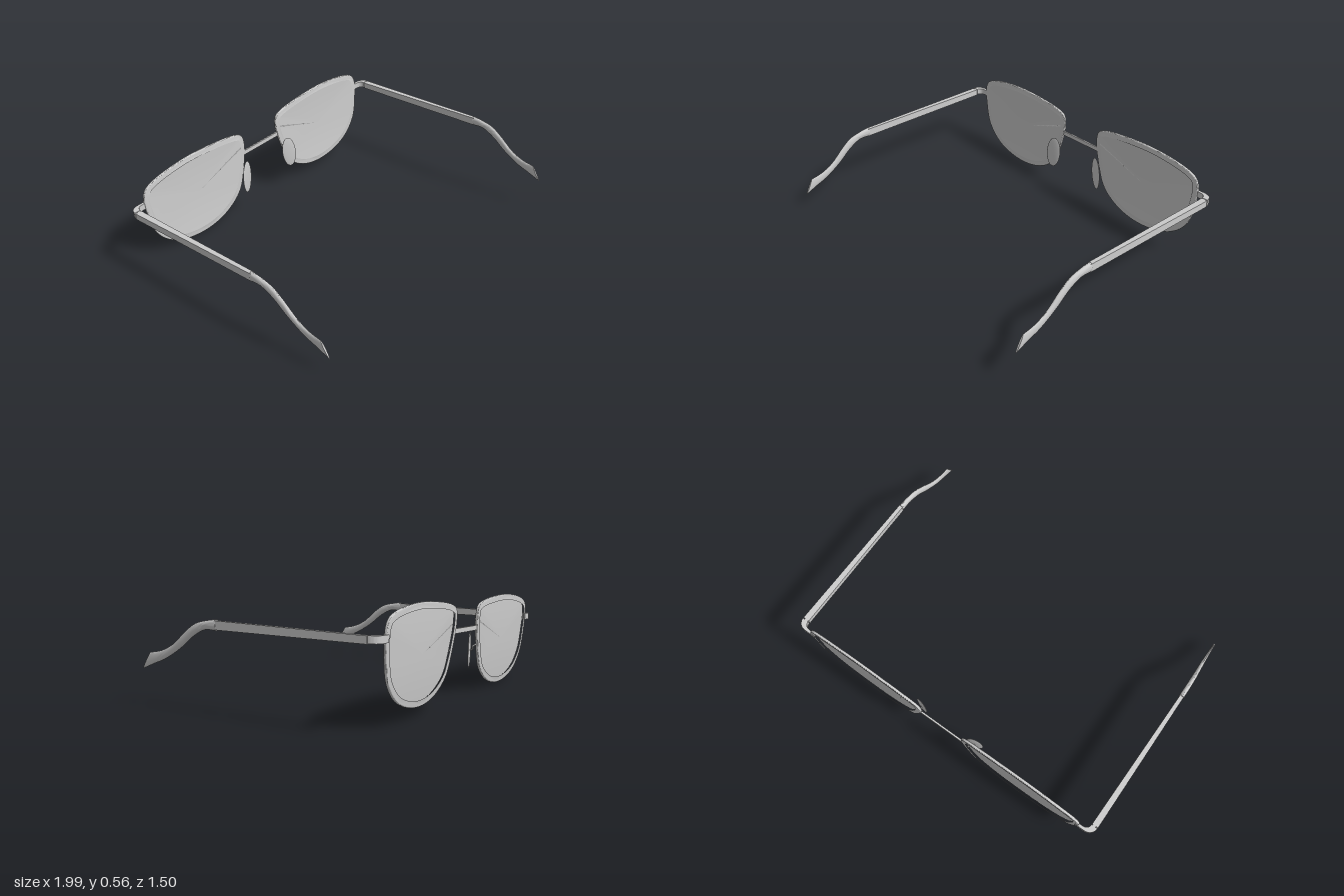
import * as THREE from 'three';
import { toCreasedNormals } from 'three/addons/utils/BufferGeometryUtils.js';
import { ParametricGeometry } from 'three/addons/geometries/ParametricGeometry.js';

const V2 = (x, y) => new THREE.Vector2(x, y);
const V3 = (x, y, z) => new THREE.Vector3(x, y, z);
const spline = (pts, closed = false) =>
  new THREE.CatmullRomCurve3(pts.map(([a, b]) => V3(a, b, 0)), closed, 'centripetal');
const grey = new THREE.MeshStandardMaterial({ color: 0xcccccc });
const greyThin = new THREE.MeshStandardMaterial({ color: 0xcccccc, side: THREE.DoubleSide });

// Mirrors a geometry in x and reverses its winding
function mirrored(geo) {
  const g = geo.index ? geo.toNonIndexed() : geo.clone();
  g.scale(-1, 1, 1);
  for (const attr of Object.values(g.attributes)) {
    const n = attr.itemSize, a = attr.array;
    for (let t = 0; t < attr.count; t += 3)
      for (let k = 0; k < n; k++) {
        const i = (t + 1) * n + k, j = (t + 2) * n + k;
        [a[i], a[j]] = [a[j], a[i]];
      }
  }
  return g;
}

// Skins closed rings of points, which run counter-clockwise seen from +z, and caps both ends
function loft(rings, crease) {
  const n = rings[0].length, pos = rings.flat().flatMap(p => [p.x, p.y, p.z]), idx = [];
  for (let r = 0; r < rings.length - 1; r++)
    for (let i = 0; i < n; i++) {
      const a = r * n + i, b = r * n + (i + 1) % n;
      idx.push(a, b, a + n, b, b + n, a + n);
    }
  const last = (rings.length - 1) * n;
  for (let i = 1; i < n - 1; i++) {
    idx.push(0, i + 1, i);
    idx.push(last, last + i, last + i + 1);
  }
  const g = new THREE.BufferGeometry();
  g.setAttribute('position', new THREE.Float32BufferAttribute(pos, 3));
  g.setIndex(idx);
  return toCreasedNormals(g, crease);
}

// Outline of the left rim, clockwise from the nose side
const outline = spline([
  [0.132, 0.05], [0.145, 0.114], [0.192, 0.138], [0.426, 0.165], [0.603, 0.164],
  [0.792, 0.135], [0.853, 0.106], [0.876, 0.059], [0.870, -0.048], [0.835, -0.184],
  [0.733, -0.286], [0.547, -0.338], [0.358, -0.315], [0.22, -0.225], [0.16, -0.083],
], true);
const inset = (u, d) => {
  const p = outline.getPoint(u), t = outline.getTangent(u);
  return V2(p.x + t.y * d, p.y - t.x * d);
};
const ring = d => Array.from({ length: 96 }, (_, i) => inset(i / 96, d));
const LEAN = -0.033;

function rimGeometry() {
  const shape = new THREE.Shape(ring(0));
  shape.holes.push(new THREE.Path(ring(0.028)));
  const g = new THREE.ExtrudeGeometry(shape, {
    depth: 0.006, bevelThickness: 0.005, bevelSize: 0.005, bevelOffset: -0.005, bevelSegments: 3,
  });
  g.translate(0, 0, -0.003);
  return toCreasedNormals(g.rotateX(LEAN), 0.7);
}

// Slightly domed sheet filling the rim
function lensGeometry() {
  const c = V2(0.505, -0.085);
  const g = new ParametricGeometry((u, v, out) => {
    const p = inset(u % 1, 0.024).sub(c).multiplyScalar(v).add(c);
    out.set(p.x, p.y, 0.003 - 0.008 * (1 - v * v));
  }, 96, 8);
  return g.rotateX(LEAN);
}

// Bent lug from the rim round to the hinge
function endPieceGeometry() {
  const s = new THREE.Shape();
  s.moveTo(0.86, 0.012);
  s.lineTo(0.915, 0.012);
  s.quadraticCurveTo(0.962, 0.01, 0.968, -0.036);
  s.lineTo(0.932, -0.036);
  s.quadraticCurveTo(0.93, -0.008, 0.9, -0.004);
  s.lineTo(0.86, -0.004);
  const g = new THREE.ExtrudeGeometry(s, { depth: 0.036, bevelEnabled: false, curveSegments: 10 });
  g.rotateX(-Math.PI / 2).translate(0, 0.001, 0);
  return toCreasedNormals(g, 0.6);
}

const ARM_X = 0.95;
function armGeometry() {
  const section = (z, top, bottom, w) => [
    V3(ARM_X - w, bottom, z), V3(ARM_X + w, bottom, z), V3(ARM_X + w, top, z), V3(ARM_X - w, top, z),
  ];
  return loft([section(0.041, 0.035, -0.002, 0.018), section(0.89, 0.034, -0.011, 0.011)], 0.3);
}

// Curved ear tip: elliptical sections between an upper and a lower edge line
function earTipGeometry() {
  const top = spline([[0.883, 0.04], [0.935, 0.032], [1.014, 0.011], [1.074, -0.03],
    [1.154, -0.102], [1.233, -0.143], [1.309, -0.16]]);
  const low = spline([[0.883, -0.016], [0.954, -0.016], [1.026, -0.053], [1.114, -0.125],
    [1.214, -0.187], [1.273, -0.211], [1.357, -0.248]]);
  const rings = [];
  for (let k = 0; k <= 30; k++) {
    const t = k / 30, a = top.getPoint(t), b = low.getPoint(t);
    const w = 0.0145 - 0.009 * t * t;
    rings.push(Array.from({ length: 20 }, (_, i) => {
      const q = i / 20 * Math.PI * 2, m = (1 + Math.sin(q)) / 2;
      return V3(ARM_X + w * Math.cos(q), b.y + (a.y - b.y) * m, b.x + (a.x - b.x) * m);
    }));
  }
  return loft(rings, 0.8);
}

function nosePadGeometry() {
  const g = new THREE.SphereGeometry(1, 28, 16).scale(0.046, 0.1, 0.006);
  return g.rotateZ(0.1).rotateY(-0.28).translate(0.18, -0.13, 0.05);
}

function padArmGeometry() {
  const path = new THREE.CatmullRomCurve3([
    V3(0.168, -0.09, 0.002), V3(0.16, -0.105, 0.022), V3(0.172, -0.125, 0.03), V3(0.18, -0.13, 0.048),
  ]);
  return new THREE.TubeGeometry(path, 16, 0.005, 8);
}

export function createModel() {
  const model = new THREE.Group();
  model.name = 'eyeglasses';
  // The glasses rest slightly turned and tilted
  const body = new THREE.Group();
  body.name = 'glassesBody';
  body.position.set(0.03, 0.37, -0.675);
  body.rotation.set(-0.012, -0.068, 0.0495);
  model.add(body);

  const add = (name, geo, mat = grey) => {
    const m = new THREE.Mesh(geo, mat);
    m.name = name;
    body.add(m);
  };
  const pair = (name, geo, mat) => {
    add('left' + name, geo, mat);
    add('right' + name, mirrored(geo), mat);
  };

  pair('Rim', rimGeometry());
  pair('Lens', lensGeometry(), greyThin);
  pair('EndPiece', endPieceGeometry());
  pair('Hinge', new THREE.CylinderGeometry(0.01, 0.01, 0.034, 14).translate(0.946, 0.018, 0.038));
  pair('Arm', armGeometry());
  pair('EarTip', earTipGeometry());
  pair('NosePad', nosePadGeometry());
  pair('PadArm', padArmGeometry());
  add('bridge', new THREE.BoxGeometry(0.29, 0.026, 0.01));
  return model;
}
